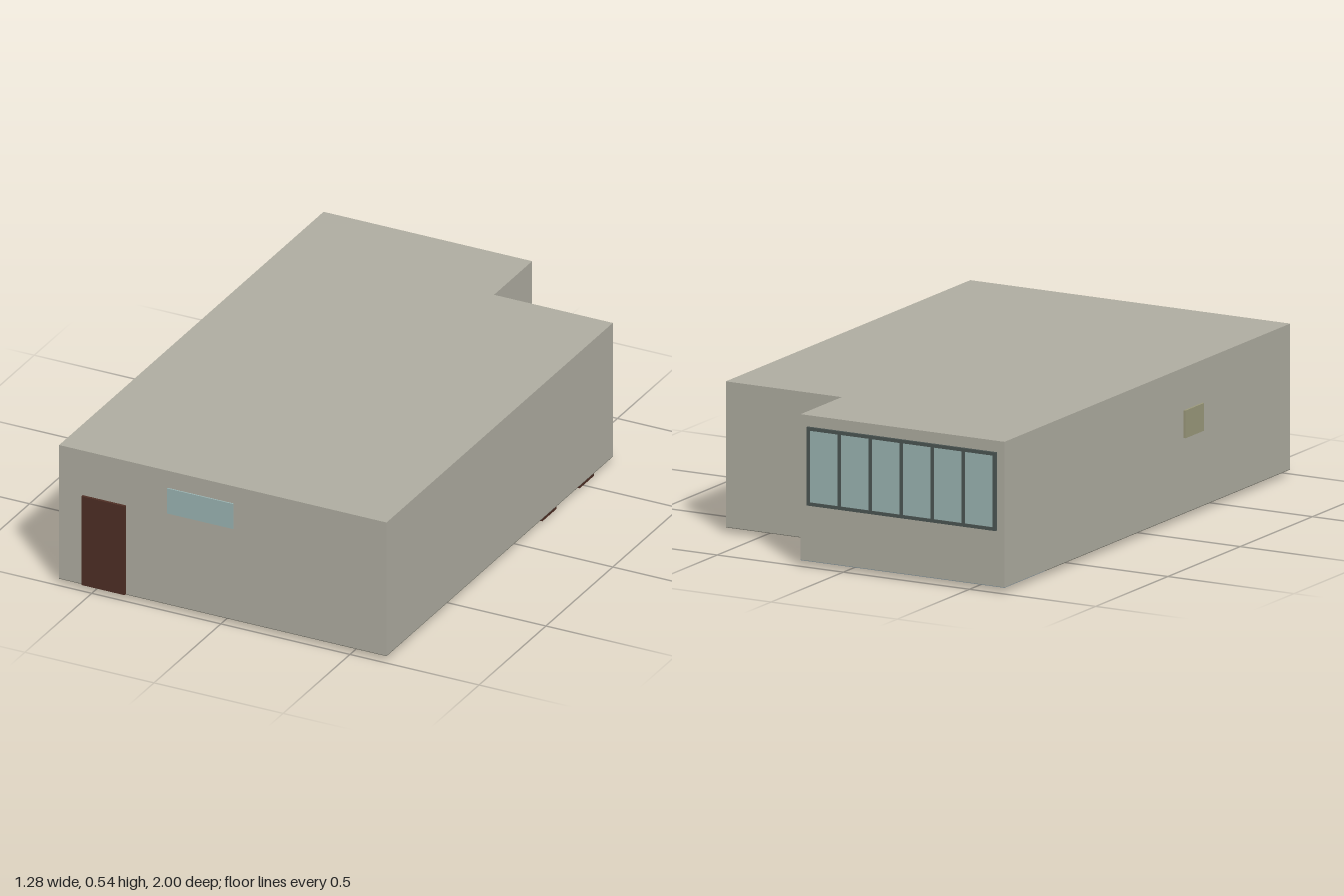
import * as THREE from 'three';

const mat = (color) => new THREE.MeshStandardMaterial({ color });
const wall = mat(0xb0aea2), wood = mat(0x4f2f25), glass = mat(0x9cb6b4), frameMat = mat(0x4c5654);
const floorMat = mat(0x6e6e64), tile = mat(0x84949a), vent = mat(0x9c9a7c), yellow = mat(0x8a7a20);

// Box given by its limits on each axis
function box(parent, name, material, [x0, x1], [y0, y1], [z0, z1]) {
  const mesh = new THREE.Mesh(new THREE.BoxGeometry(x1 - x0, y1 - y0, z1 - z0), material);
  mesh.position.set((x0 + x1) / 2, (y0 + y1) / 2, (z0 + z1) / 2);
  mesh.name = name;
  parent.add(mesh);
  return mesh;
}

export function createModel() {
  const house = new THREE.Group();
  house.name = 'house';
  const L = -0.633, R = 0.635, F = 0.987, B = -0.99, notchX = 0.175, notchZ = -0.705;
  const base = 0.021, top = 0.536;

  // L-shaped building with a flat roof
  const plan = new THREE.Shape([[L, -F], [R, -F], [R, -notchZ], [notchX, -notchZ], [notchX, -B], [L, -B]]
    .map(([x, y]) => new THREE.Vector2(x, y)));
  const body = new THREE.Mesh(new THREE.ExtrudeGeometry(plan, { depth: top - base, bevelEnabled: false }), wall);
  body.geometry.rotateX(-Math.PI / 2);
  body.position.y = base;
  body.name = 'wallsAndRoof';
  house.add(body);

  // Undersides of the main floor and the rear room
  box(house, 'mainFloor', floorMat, [L, R], [base - 0.002, base], [notchZ, F]);
  box(house, 'rearFloor', tile, [L, notchX], [base - 0.002, base], [B, notchZ]);

  // Front door and high front window
  box(house, 'frontDoor', wood, [-0.542, -0.374], [base, 0.364], [F - 0.01, 0.997]);
  box(house, 'frontWindow', glass, [-0.213, 0.043], [0.373, 0.47], [F - 0.01, 0.992]);

  // Small window on the right wall
  box(house, 'sideWindow', vent, [-0.641, L + 0.01], [0.287, 0.385], [0.25, 0.378]);

  // Wide rear window: frame bars around six panes
  const rear = new THREE.Group();
  rear.name = 'rearWindow';
  house.add(rear);
  const x0 = -0.603, x1 = 0.147, y0 = 0.218, y1 = 0.496, bar = 0.012, panes = 6;
  const z = [-0.999, B + 0.005];
  box(rear, 'rearSill', frameMat, [x0, x1], [y0, y0 + bar], z);
  box(rear, 'rearHead', frameMat, [x0, x1], [y1 - bar, y1], z);
  const step = (x1 - x0 - bar) / panes;
  for (let i = 0; i <= panes; i++) {
    const x = x0 + i * step;
    box(rear, 'rearMullion', frameMat, [x, x + bar], [y0 + bar, y1 - bar], z);
    if (i < panes) box(rear, 'rearPane', glass, [x + bar, x + step], [y0 + bar, y1 - bar], [-0.996, B + 0.005]);
  }

  // Two slabs below the floor on the left
  for (const z0 of [-0.3, -0.58]) box(house, 'lowerSlab', wood, [0.457, 0.627], [0, base], [z0, z0 + 0.106]);

  // Furniture footprints showing through the floor
  const y = [base - 0.003, base];
  box(house, 'rearBench', wood, [0.22, 0.6], y, [-0.69, -0.62]);
  box(house, 'stoolFoot', wood, [0.36, 0.45], y, [-0.41, -0.33]);
  box(house, 'cabinetFoot', wood, [0.36, 0.56], y, [-0.15, -0.06]);
  box(house, 'yellowSeat', yellow, [0.25, 0.35], y, [0.6, 0.71]).rotation.y = 0.6;
  for (const x of [-0.19, -0.02])
    for (const lz of [-0.1, 0.3]) box(house, 'tableLeg', wood, [x - 0.01, x + 0.01], y, [lz - 0.01, lz + 0.01]);
  return house;
}
